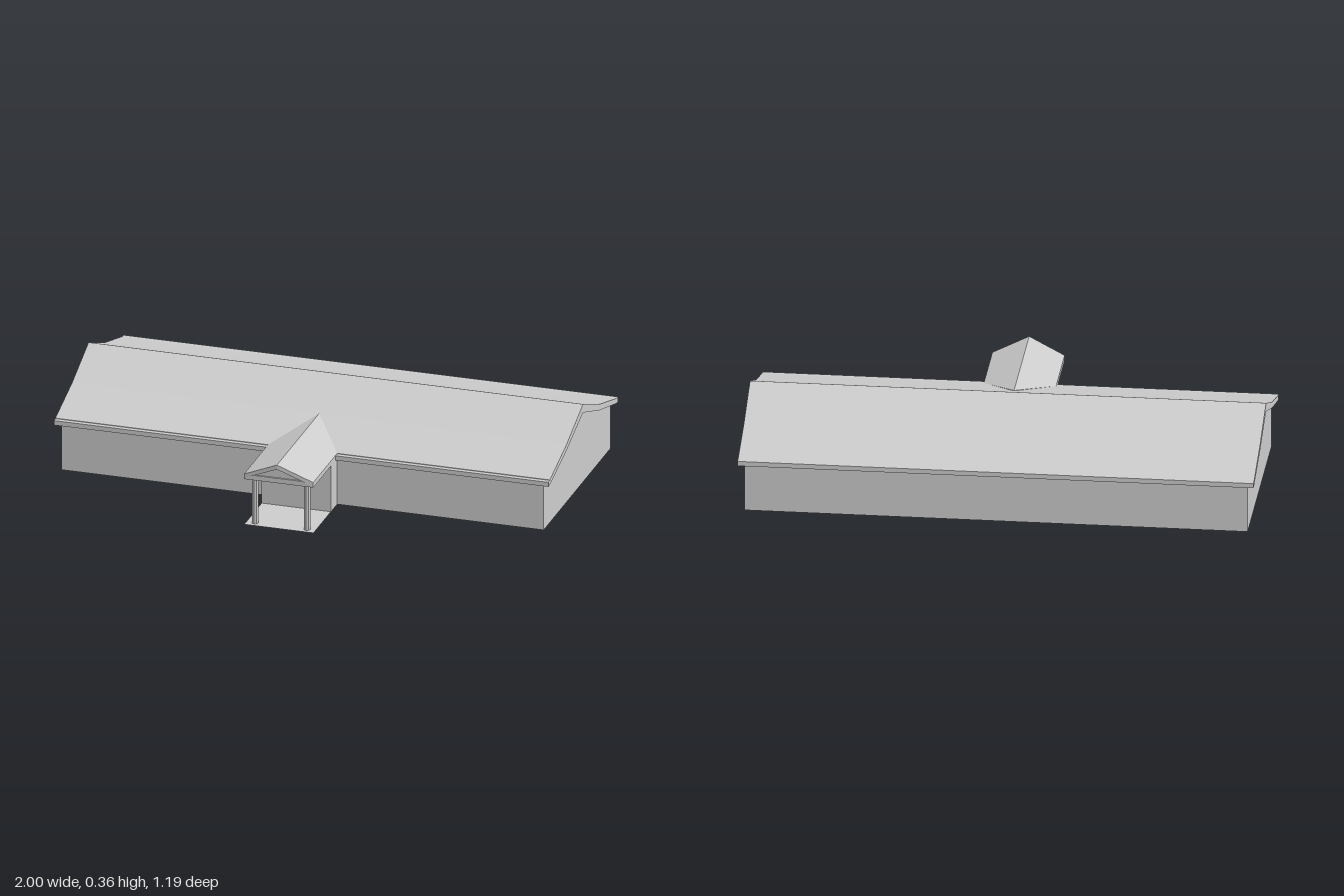
import * as THREE from 'three';

const material = new THREE.MeshStandardMaterial({ color: 0xcccccc, flatShading: true, side: THREE.DoubleSide });

export function createModel() {
  const model = new THREE.Group();
  const add = (name, geometry, x = 0, y = 0, z = 0) => {
    const mesh = new THREE.Mesh(geometry, material);
    mesh.name = name;
    mesh.position.set(x, y, z);
    model.add(mesh);
    return mesh;
  };
  const shapeOf = (points) => new THREE.Shape(points.map(([a, b]) => new THREE.Vector2(a, b)));
  const box = (name, x0, x1, y0, y1, z0, z1) =>
    add(name, new THREE.BoxGeometry(x1 - x0, y1 - y0, z1 - z0), (x0 + x1) / 2, (y0 + y1) / 2, (z0 + z1) / 2);

  // Sloped slab: plan outline in [x, z], with a height rule for its top and underside
  const slab = (name, outline, top, under) => {
    const geometry = new THREE.ExtrudeGeometry(shapeOf(outline.map(([x, z]) => [x, -z])), { depth: 1, bevelEnabled: false });
    geometry.rotateX(-Math.PI / 2);
    const p = geometry.attributes.position;
    for (let i = 0; i < p.count; i++) {
      const rule = p.getY(i) > 0.5 ? top : under;
      p.setY(i, rule(p.getX(i), p.getZ(i)));
    }
    geometry.computeVertexNormals();
    return add(name, geometry);
  };

  // Standing wall between two plan points
  const eave = 0.192;
  const wall = (name, [x0, z0], [x1, z1]) => {
    const mesh = add(name, new THREE.PlaneGeometry(Math.hypot(x1 - x0, z1 - z0), eave), (x0 + x1) / 2, eave / 2, (z0 + z1) / 2);
    mesh.rotation.y = -Math.atan2(z1 - z0, x1 - x0);
  };

  // Long walls, with the entrance bay standing out at the front
  const front = [[-0.975, 0.27], [-0.14, 0.27], [-0.14, 0.35], [0.14, 0.35], [0.14, 0.27], [0.975, 0.27]];
  const names = ['frontWall', 'entranceSide', 'entranceFront', 'entranceSide', 'frontWall'];
  names.forEach((name, i) => wall(name, front[i], front[i + 1]));
  wall('backWall', [0.975, -0.575], [-0.975, -0.575]);

  // Gable end walls, following the roof underside ([-z, y])
  const gable = [[-0.27, 0], [0.575, 0], [0.575, eave], [0.36, 0.25], [0.15, 0.325], [-0.06, 0.25], [-0.27, eave]];
  for (const x of [-0.975, 0.975]) {
    add('gableWall', new THREE.ShapeGeometry(shapeOf(gable)), x).rotation.y = Math.PI / 2;
  }

  // Main roof: ridge and back slopes as one long section
  const section = [[-0.06, 0.275], [0.15, 0.36], [0.36, 0.275], [0.575, 0.213], [0.595, 0.211],
    [0.595, eave], [0.575, eave], [0.36, 0.25], [0.15, 0.325], [-0.06, 0.25]];
  const roof = new THREE.ExtrudeGeometry(shapeOf(section), { depth: 2, bevelEnabled: false });
  roof.translate(0, 0, -1).rotateY(Math.PI / 2);
  add('mainRoof', roof);

  const mainTop = (x, z) => 0.275 - (z - 0.06) * 0.062 / 0.21;
  const mainUnder = (x, z) => 0.25 - (z - 0.06) * 0.058 / 0.21;
  const porchTop = (x) => 0.277 - Math.abs(x) * 0.064 / 0.14;
  const porchUnder = (x) => porchTop(x) - 0.018;

  for (const s of [-1, 1]) {
    // Lower front slope, cut along the valley
    slab('frontRoofSlope', [[s, 0.06], [s, 0.27], [s * 0.14, 0.27], [0, 0.06]], mainTop, mainUnder);
    box('frontEave', s < 0 ? -1 : 0.14, s < 0 ? -0.14 : 1, eave, 0.211, 0.27, 0.29);

    // Porch roof half, its gable edge raking forward to the ridge
    slab('porchRoof', [[0, 0.06], [s * 0.14, 0.27], [s * 0.14, 0.573], [0, 0.595]], porchTop, porchUnder);
    box('porchBeam', s * 0.13 - 0.01, s * 0.13 + 0.01, eave, 0.212, 0.27, 0.573);

    // Porch post
    add('porchPost', new THREE.CylinderGeometry(0.013, 0.013, eave, 8), s * 0.105, eave / 2, 0.542);
  }

  // Porch front: beam, pediment and floor
  box('porchFrontBeam', -0.14, 0.14, eave, 0.212, 0.553, 0.573);
  add('pediment', new THREE.ShapeGeometry(shapeOf([[-0.14, 0.205], [0.14, 0.205], [0, 0.27]])), 0, 0, 0.567);
  const floor = new THREE.PlaneGeometry(0.28, 0.22).rotateX(-Math.PI / 2);
  add('porchFloor', floor, 0, 0.001, 0.46);

  return model;
}
